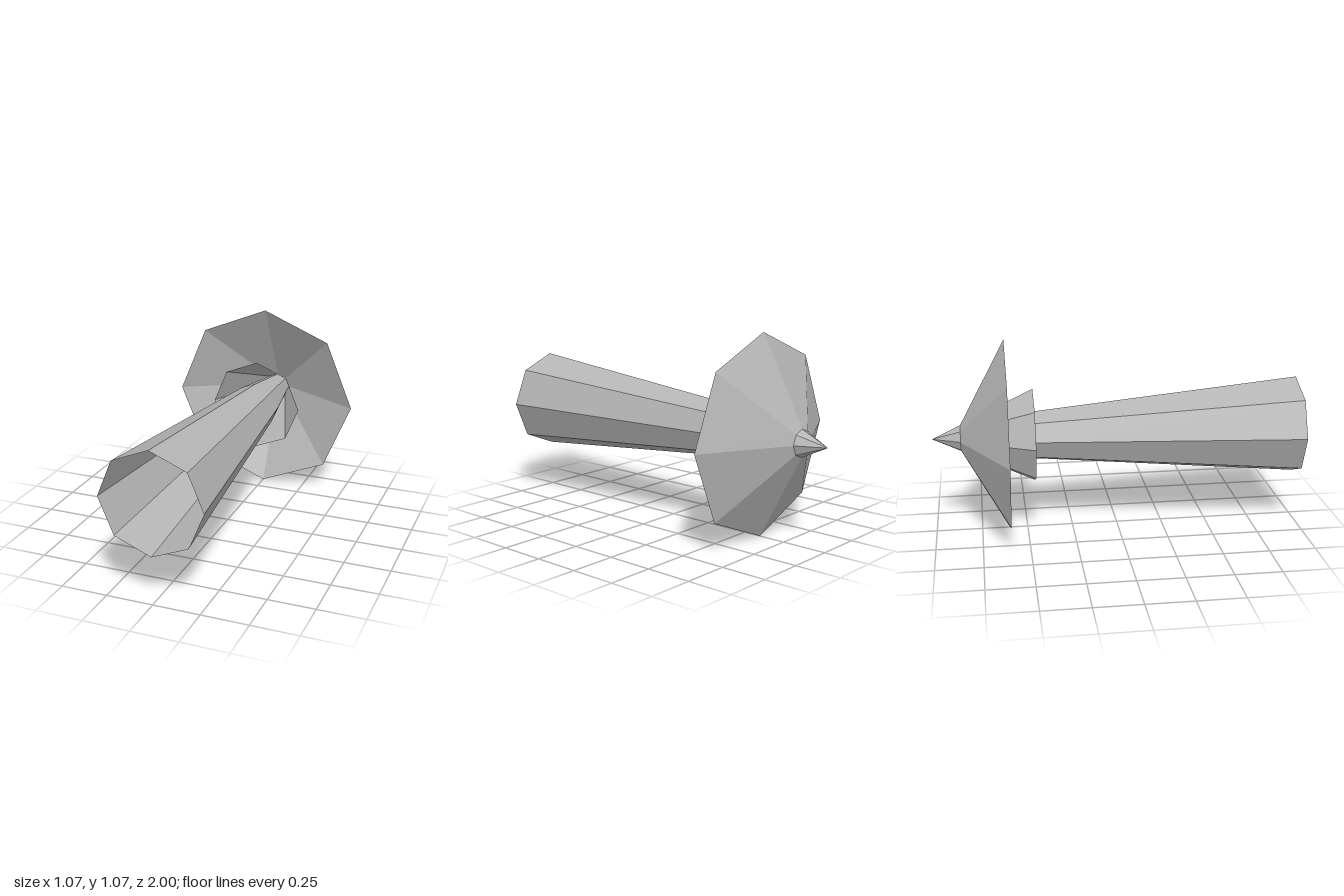
import * as THREE from 'three';

const AXIS_Y = 0.535;  // height of the long axis
const NECK = [0.073, -0.847];  // [radius, z] ring where all the shells meet

export function createModel() {
  const group = new THREE.Group();
  group.name = 'flaredSpike';

  const grey = new THREE.MeshStandardMaterial({ color: 0xb4b4b4, flatShading: true, side: THREE.DoubleSide });
  grey.name = 'grey';

  // Open eight-sided shell along z, from [radius, z] pairs listed back to front
  function shell(name, profile) {
    const points = profile.map(([r, z]) => new THREE.Vector2(r, z));
    const geometry = new THREE.LatheGeometry(points, 8).rotateX(Math.PI / 2).toNonIndexed();
    geometry.computeVertexNormals();
    const mesh = new THREE.Mesh(geometry, grey);
    mesh.name = name;
    mesh.position.y = AXIS_Y;
    group.add(mesh);
  }

  // Pointed tip at the back
  shell('tip', [[0, -1], NECK]);
  // Wide canopy
  shell('canopy', [NECK, [0.535, -0.6]]);
  // Smaller skirt nested in the canopy
  shell('skirt', [NECK, [0.26, -0.455]]);
  // Long hollow tube widening to its open front
  shell('tube', [NECK, [0.134, -0.455], [0.275, 1]]);

  return group;
}
